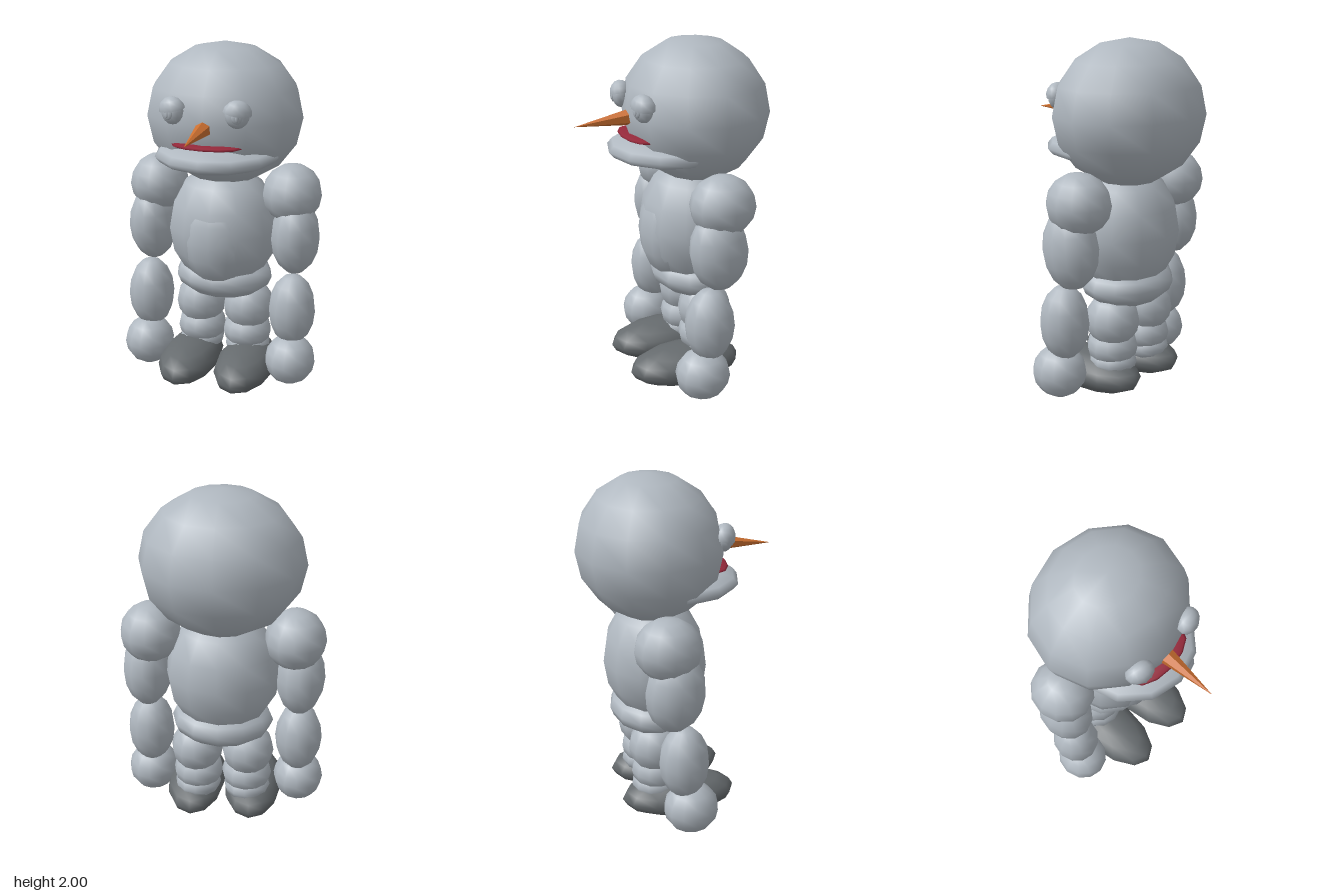
import * as THREE from 'three';

const mat = (name, color, side = THREE.FrontSide) => {
  const m = new THREE.MeshStandardMaterial({ color, side });
  m.name = name;
  return m;
};

export function createModel() {
  const grey = mat('light grey', 0xb0b8c0, THREE.DoubleSide);
  const dark = mat('shoe grey', 0x666b6e);
  const orange = mat('carrot orange', 0xcb6f30);
  const red = mat('mouth red', 0x94283a);

  const model = new THREE.Group();
  model.name = 'snowman';

  // Coarse smooth ellipsoid from centre and radii
  const ball = new THREE.SphereGeometry(1, 12, 8);
  const add = (name, parent, geo, material, pos, scale = [1, 1, 1], rot = [0, 0, 0]) => {
    const mesh = new THREE.Mesh(geo, material);
    mesh.name = name;
    mesh.position.set(...pos);
    mesh.scale.set(...scale);
    mesh.rotation.set(...rot);
    parent.add(mesh);
    return mesh;
  };
  const blob = (name, pos, radii, material = grey, rot) =>
    add(name, model, ball, material, pos, radii, rot);

  // Head, lower bill and mouth
  blob('head', [0, 1.6, -0.145], [0.45, 0.4, 0.405]);
  blob('jaw', [0, 1.4, 0], [0.35, 0.085, 0.355]);
  blob('mouth', [0, 1.482, 0.185], [0.2, 0.017, 0.1], red);

  // Carrot nose: six-sided cone, dipping slightly
  const cone = new THREE.ConeGeometry(0.05, 0.34, 6).toNonIndexed();
  cone.computeVertexNormals();
  add('nose', model, cone, orange, [0, 1.575, 0.375], [1, 1, 1], [Math.PI / 2 + 0.08, 0, 0]);

  // Trunk
  blob('torso', [0, 0.94, -0.125], [0.325, 0.37, 0.29]);
  blob('belly', [0, 0.9, 0], [0.215, 0.28, 0.176]);
  blob('pelvis', [0, 0.64, -0.14], [0.29, 0.135, 0.245]);

  // Upper shell of the eye
  const lidGeo = new THREE.SphereGeometry(1, 12, 4, 0, Math.PI * 2, 0, Math.PI / 2);

  for (const s of [1, -1]) {
    const side = s > 0 ? 'left' : 'right';

    // Eye with iris, pupil and drooping lid
    const eye = new THREE.Group();
    eye.name = side + 'Eye';
    eye.position.set(s * 0.18, 1.67, 0.22);
    eye.rotation.y = s * 0.35;
    model.add(eye);
    add('eyeball', eye, ball, grey, [0, 0, 0], [0.066, 0.073, 0.05]);
    add('iris', eye, ball, grey, [-s * 0.005, -0.005, 0.042], [0.03, 0.036, 0.012]);
    add('pupil', eye, ball, grey, [-s * 0.005, -0.005, 0.052], [0.01, 0.024, 0.006]);
    add('eyelid', eye, lidGeo, grey, [0, 0.008, 0], [0.078, 0.07, 0.06], [0.15, 0, -s * 0.15]);

    // Arm
    blob(side + 'Shoulder', [s * 0.4, 1.165, -0.14], [0.17, 0.17, 0.182]);
    blob(side + 'UpperArm', [s * 0.432, 0.92, -0.108], [0.14, 0.225, 0.165], grey, [0.08, 0, 0]);
    blob(side + 'Forearm', [s * 0.435, 0.49, -0.06], [0.136, 0.215, 0.14]);
    blob(side + 'Hand', [s * 0.44, 0.19, -0.02], [0.147, 0.147, 0.156]);

    // Leg and shoe
    blob(side + 'Thigh', [s * 0.147, 0.445, -0.155], [0.15, 0.155, 0.155]);
    blob(side + 'Shin', [s * 0.142, 0.285, -0.15], [0.145, 0.12, 0.145]);
    blob(side + 'Ankle', [s * 0.145, 0.2, -0.155], [0.135, 0.09, 0.14]);
    blob(side + 'Shoe', [s * 0.172, 0.118, -0.025], [0.173, 0.115, 0.335], dark);
  }
  return model;
}
